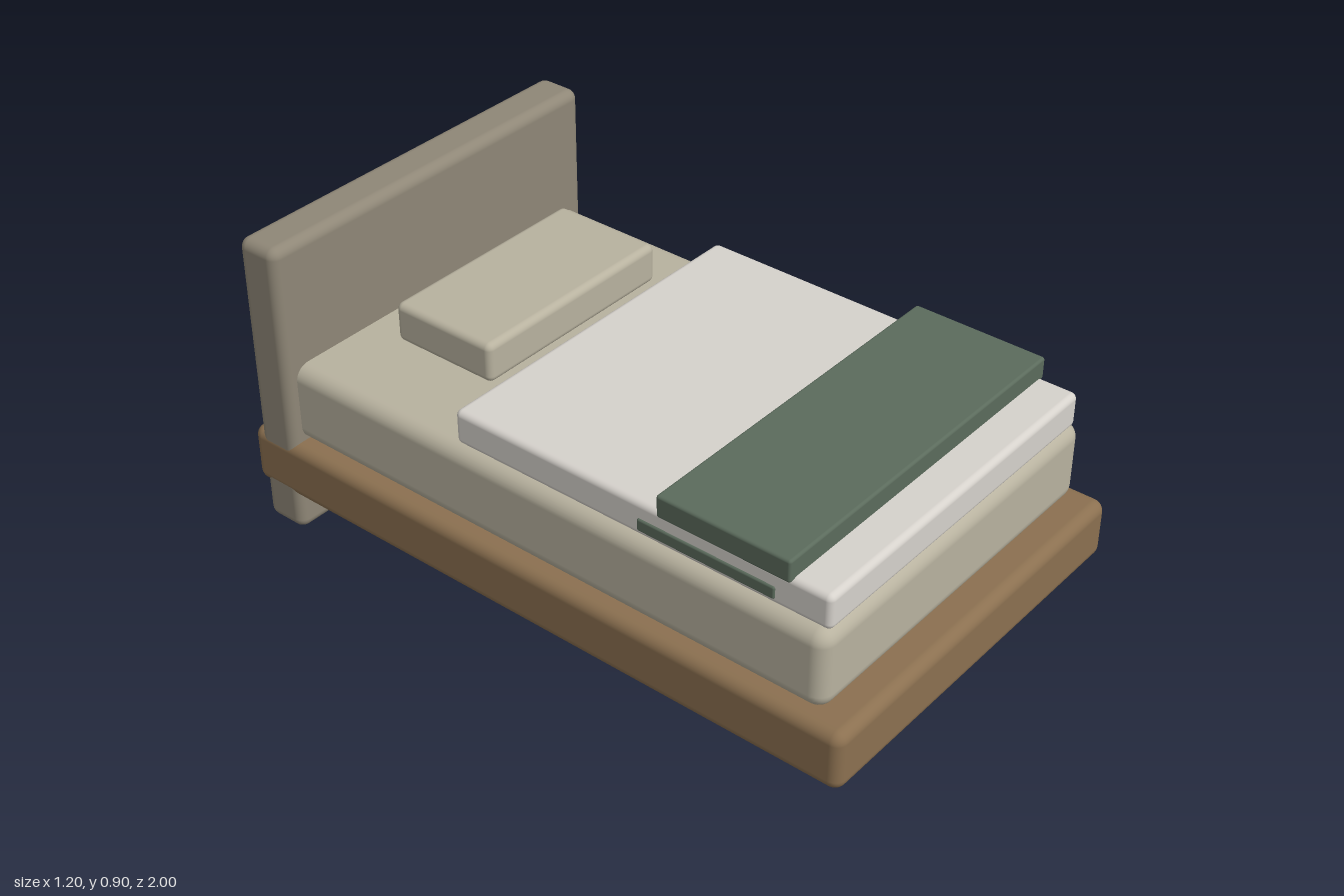
import * as THREE from 'three';
import { RoundedBoxGeometry } from 'three/addons/geometries/RoundedBoxGeometry.js';

function flat(name, color) {
  const m = new THREE.MeshStandardMaterial({ color });
  m.name = name;
  return m;
}

export function createModel() {
  const bed = new THREE.Group();
  bed.name = 'bed';

  const wood = flat('brown wood', 0x8b7050);
  const upholstery = flat('taupe upholstery', 0x8f8777);
  const linen = flat('beige linen', 0xb8b29f);
  const cotton = flat('pale cotton', 0xd6d2cc);
  const wool = flat('green wool', 0x5b6b5c);

  // Soft-edged box, centred on x, spanning the given y and z ranges
  function softBox(name, material, halfX, [y0, y1], [z0, z1], radius) {
    const geometry = new RoundedBoxGeometry(2 * halfX, y1 - y0, z1 - z0, 4, radius);
    const mesh = new THREE.Mesh(geometry, material);
    mesh.name = name;
    mesh.position.set(0, (y0 + y1) / 2, (z0 + z1) / 2);
    bed.add(mesh);
  }

  // Base and headboard; the base wraps just outside the headboard
  softBox('bedFrame', wood, 0.6, [0.113, 0.291], [-1, 1], 0.033);
  softBox('headboard', upholstery, 0.599, [0, 0.902], [-0.97, -0.833], 0.03);

  // Bedding
  softBox('mattress', linen, 0.563, [0.292, 0.53], [-0.92, 0.92], 0.045);
  softBox('pillow', linen, 0.336, [0.573, 0.692], [-0.672, -0.33], 0.02);
  softBox('blanket', cotton, 0.535, [0.527, 0.63], [-0.27, 0.912], 0.018);

  // Folded throw with its lower layer showing at the blanket sides
  softBox('throw', wool, 0.545, [0.62, 0.686], [0.4, 0.8], 0.008);
  softBox('throwLowerFold', wool, 0.54, [0.545, 0.582], [0.335, 0.752], 0.006);

  return bed;
}
